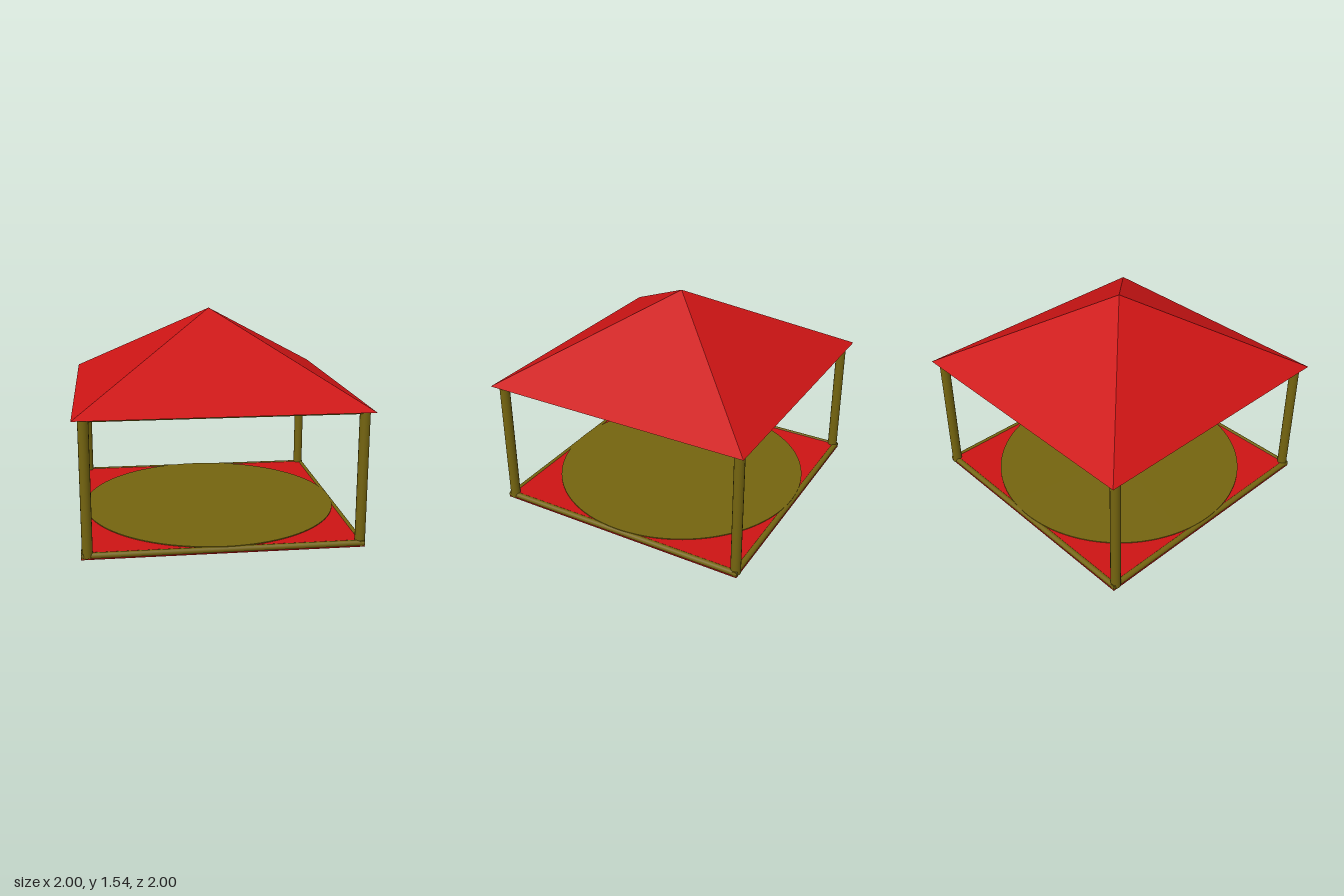
import * as THREE from 'three';

const WOOD = new THREE.MeshStandardMaterial({ color: 0x74640f });
const RED = new THREE.MeshStandardMaterial({ color: 0xcc1414 });
const ROOF = new THREE.MeshStandardMaterial({ color: 0xcc1414, flatShading: true, side: THREE.DoubleSide });

// Round timber running between two points
function pole(name, from, to, radius) {
  const a = new THREE.Vector3(...from);
  const b = new THREE.Vector3(...to);
  const dir = b.clone().sub(a);
  const mesh = new THREE.Mesh(new THREE.CylinderGeometry(radius, radius, dir.length(), 16), WOOD);
  mesh.position.copy(a).add(b).multiplyScalar(0.5);
  mesh.quaternion.setFromUnitVectors(new THREE.Vector3(0, 1, 0), dir.normalize());
  mesh.name = name;
  return mesh;
}

function slab(name, half, y0, y1) {
  const mesh = new THREE.Mesh(new THREE.BoxGeometry(2 * half, y1 - y0, 2 * half), RED);
  mesh.position.y = (y0 + y1) / 2;
  mesh.name = name;
  return mesh;
}

export function createModel() {
  const model = new THREE.Group();
  model.name = 'pavilion';

  // Floor with a round platform
  model.add(slab('floorUnderside', 0.966, 0, 0.006));
  model.add(slab('floor', 0.945, 0.006, 0.036));
  const platform = new THREE.Mesh(new THREE.CylinderGeometry(0.955, 0.955, 0.006, 96), WOOD);
  platform.position.y = 0.043;
  platform.name = 'roundPlatform';
  model.add(platform);

  // Each side repeats a post, sill, top beam and rafter, turned a quarter
  for (let i = 0; i < 4; i++) {
    const side = new THREE.Group();
    side.name = 'sideFrame' + (i + 1);
    side.rotation.y = i * Math.PI / 2;
    side.add(
      pole('post', [0.94, 0.01, 0.925], [0.94, 0.96, 0.925], 0.036),
      pole('sillBeam', [-0.965, 0.022, 0.947], [0.965, 0.022, 0.947], 0.021),
      pole('topBeam', [-0.94, 0.955, 0.935], [0.94, 0.955, 0.935], 0.022),
      pole('rafter', [0.935, 0.962, 0.935], [0, 1.512, 0], 0.022)
    );
    model.add(side);
  }

  // Hollow pyramid roof
  const roof = new THREE.Mesh(new THREE.ConeGeometry(Math.SQRT2, 0.59, 4, 1, true), ROOF);
  roof.rotation.y = Math.PI / 4;
  roof.position.y = 0.955 + 0.295;
  roof.name = 'roof';
  model.add(roof);

  return model;
}
